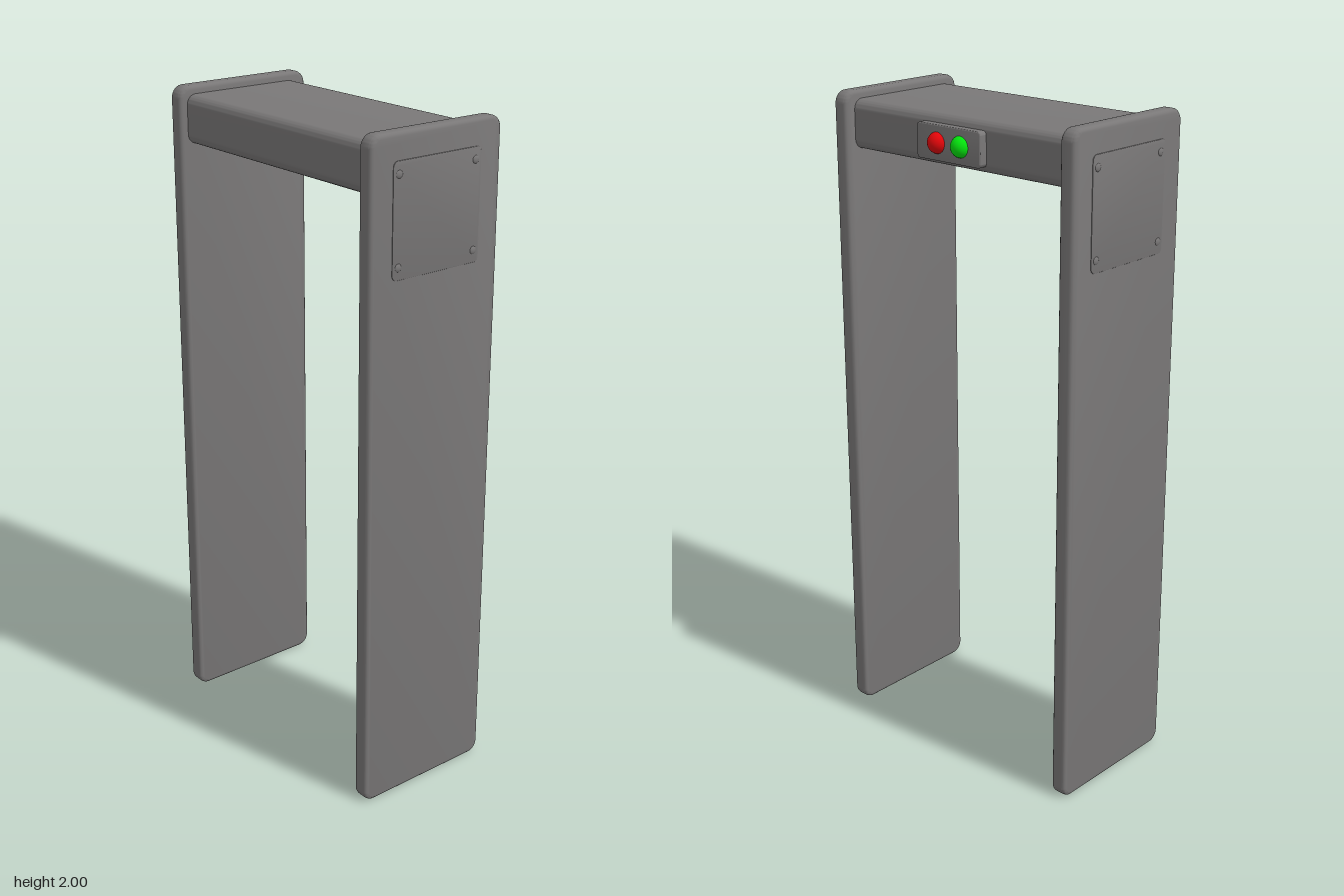
import * as THREE from 'three';
import { toCreasedNormals } from 'three/addons/utils/BufferGeometryUtils.js';

const grey = new THREE.MeshStandardMaterial({ color: 0x7a7878 });
grey.name = 'housing grey';
const red = new THREE.MeshStandardMaterial({ color: 0xe8060a });
red.name = 'signal red';
const green = new THREE.MeshStandardMaterial({ color: 0x04e80e });
green.name = 'signal green';

// Rounded rectangle w by h in XY, extruded to a total thickness t along Z, centred
function slab(w, h, t, r, bevel) {
  const x = w / 2 - bevel, y = h / 2 - bevel;
  const s = new THREE.Shape();
  s.moveTo(-x + r, -y);
  s.lineTo(x - r, -y);
  s.absarc(x - r, -y + r, r, -Math.PI / 2, 0);
  s.lineTo(x, y - r);
  s.absarc(x - r, y - r, r, 0, Math.PI / 2);
  s.lineTo(-x + r, y);
  s.absarc(-x + r, y - r, r, Math.PI / 2, Math.PI);
  s.lineTo(-x, -y + r);
  s.absarc(-x + r, -y + r, r, Math.PI, Math.PI * 1.5);
  const geo = new THREE.ExtrudeGeometry(s, {
    depth: t - 2 * bevel, curveSegments: 6,
    bevelEnabled: bevel > 0, bevelThickness: bevel, bevelSize: bevel, bevelSegments: 3,
  });
  geo.center();
  return toCreasedNormals(geo, 0.6);
}

function add(parent, name, geo, mat, x, y, z) {
  const m = new THREE.Mesh(geo, mat);
  m.name = name;
  m.position.set(x, y, z);
  parent.add(m);
  return m;
}

export function createModel() {
  const model = new THREE.Group();
  model.name = 'walkThroughDetector';

  // Side panels, each with an outer access cover and four screws
  const panelGeo = slab(0.46, 2, 0.05, 0.025, 0.012).rotateY(Math.PI / 2);
  const coverGeo = slab(0.31, 0.32, 0.006, 0.015, 0.001).rotateY(Math.PI / 2);
  const screwGeo = new THREE.SphereGeometry(0.012, 12, 8).scale(0.4, 1, 1);
  for (const side of [1, -1]) {
    const label = side > 0 ? 'left' : 'right';
    add(model, label + 'Panel', panelGeo, grey, side * 0.428, 1, 0.005);
    add(model, label + 'AccessCover', coverGeo, grey, side * 0.452, 1.765, 0.005);
    for (const y of [1.64, 1.89])
      for (const z of [-0.13, 0.14])
        add(model, label + 'CoverScrew', screwGeo, grey, side * 0.4535, y, z);
  }

  // Overhead cross unit between the panels
  add(model, 'crossUnit', slab(0.4, 0.145, 0.82, 0.03, 0).rotateY(Math.PI / 2),
    grey, 0, 1.903, 0.01);

  // Signal lights on a small plate at the back
  add(model, 'lightPlate', slab(0.24, 0.1, 0.03, 0.008, 0.003), grey, 0.005, 1.9, -0.2);
  const lampGeo = new THREE.SphereGeometry(0.031, 24, 16);
  add(model, 'greenLamp', lampGeo, green, -0.04, 1.9, -0.209);
  add(model, 'redLamp', lampGeo, red, 0.048, 1.9, -0.209);

  return model;
}
